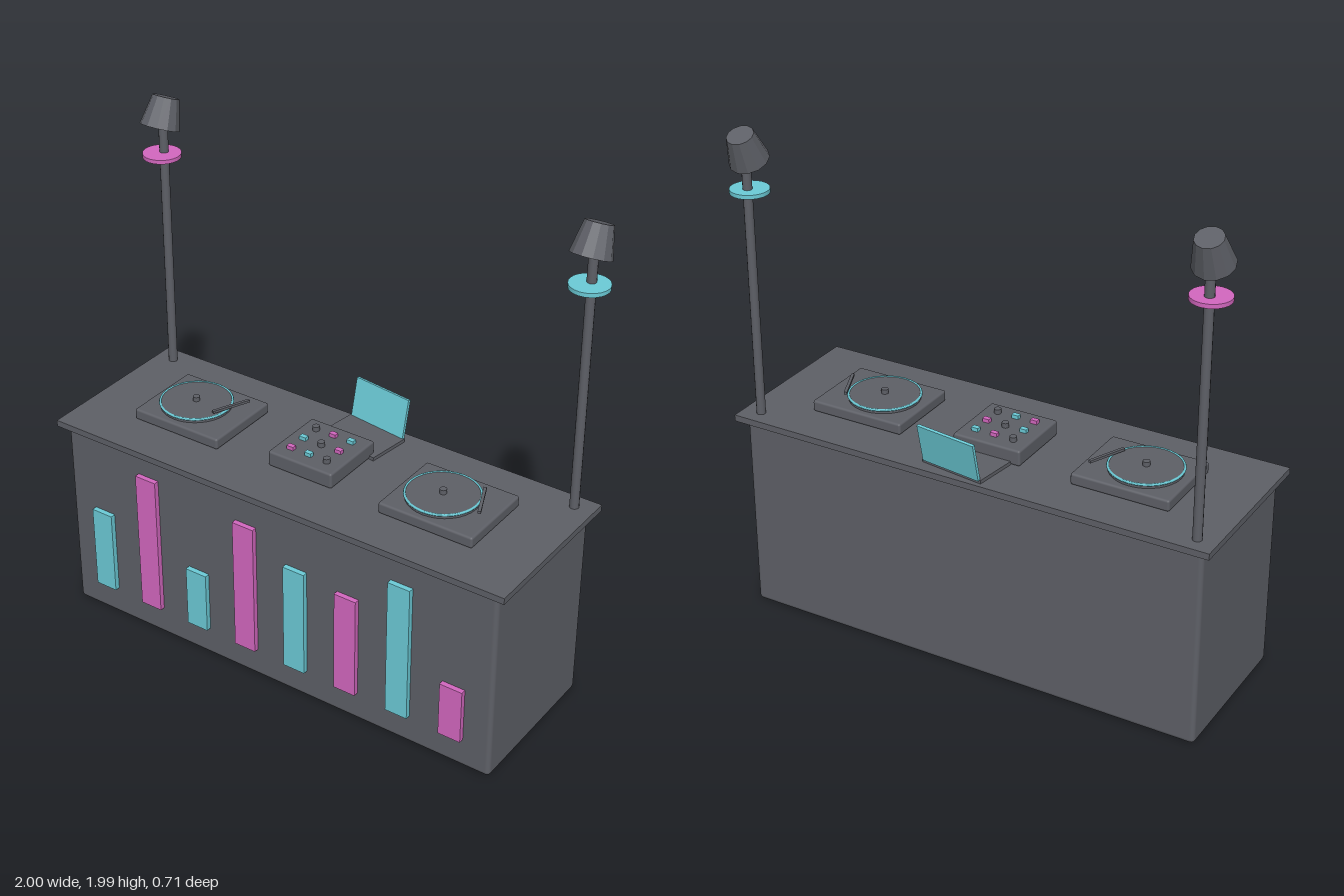
import * as THREE from 'three';
import { RoundedBoxGeometry } from 'three/addons/geometries/RoundedBoxGeometry.js';

export function createModel() {
  const model = new THREE.Group();
  model.name = 'djBooth';

  const make = (name, color, flatShading = false) => {
    const m = new THREE.MeshStandardMaterial({ color, flatShading });
    m.name = name;
    return m;
  };
  const dark = make('charcoal', 0x5e6067);
  const darkFlat = dark.clone();
  darkFlat.flatShading = true;
  const cyan = make('cyan', 0x6cccd8);
  const pink = make('pink', 0xd468c0);

  const add = (parent, name, geometry, material, x = 0, y = 0, z = 0) => {
    const mesh = new THREE.Mesh(geometry, material);
    mesh.name = name;
    mesh.position.set(x, y, z);
    parent.add(mesh);
    return mesh;
  };
  const group = (name, x = 0, y = 0, z = 0) => {
    const g = new THREE.Group();
    g.name = name;
    g.position.set(x, y, z);
    model.add(g);
    return g;
  };
  const box = (w, h, d) => new THREE.BoxGeometry(w, h, d);
  const rounded = (w, h, d, r) => new RoundedBoxGeometry(w, h, d, 2, r);
  const cyl = (rTop, rBottom, h, n = 24) => new THREE.CylinderGeometry(rTop, rBottom, h, n);

  // Cabinet and overhanging counter
  const TOP = 0.836;
  add(model, 'cabinet', rounded(1.928, 0.81, 0.636, 0.018), dark, 0, 0.405, 0.008);
  add(model, 'counter', box(2, 0.026, 0.69), dark, 0, TOP - 0.013, 0.005);

  // Equaliser bars on the front
  const BAR_BOTTOM = 0.125;
  [0.478, 0.72, 0.382, 0.688, 0.58, 0.555, 0.703, 0.352].forEach((top, i) => {
    const h = top - BAR_BOTTOM;
    add(model, 'equaliserBar', box(0.094, h, 0.024), i % 2 ? pink : cyan,
      -0.803 + i * 0.2294, BAR_BOTTOM + h / 2, 0.335);
  });

  // Turntables, with the tonearms turned opposite ways
  for (const side of [-1, 1]) {
    const deck = group('turntable', side * 0.561, TOP, 0.003);
    add(deck, 'deckBase', rounded(0.396, 0.046, 0.33, 0.009), dark, 0, 0.023, 0);
    add(deck, 'platter', cyl(0.14, 0.14, 0.018, 32), dark, -0.025, 0.054, 0);
    const ring = add(deck, 'platterRing', new THREE.TorusGeometry(0.14, 0.005, 6, 32), cyan, -0.025, 0.061, 0);
    ring.rotation.x = Math.PI / 2;
    add(deck, 'spindle', cyl(0.014, 0.014, 0.02, 12), dark, -0.025, 0.071, 0);
    const arm = add(deck, 'tonearm', box(0.012, 0.01, 0.16), dark, 0.123, 0.074, -0.025);
    arm.rotation.y = side * 0.41;
  }

  // Mixer with a grid of round knobs and coloured pads
  const mixer = group('mixer', -0.002, TOP, -0.002);
  add(mixer, 'mixerBase', rounded(0.285, 0.064, 0.285, 0.009), dark, 0, 0.032, 0);
  for (let row = 0; row < 3; row++) {
    for (let col = 0; col < 3; col++) {
      const kind = (col - row + 3) % 3;
      const x = (col - 1) * 0.08, z = (row - 1) * 0.08;
      if (kind === 0) add(mixer, 'knob', cyl(0.014, 0.014, 0.02, 12), dark, x, 0.073, z);
      else add(mixer, 'pad', box(0.028, 0.016, 0.02), kind === 1 ? pink : cyan, x, 0.071, z);
    }
  }

  // Laptop, turned slightly, with its screen leaning back
  const laptop = group('laptop', 0.038, TOP, -0.215);
  laptop.rotation.y = -0.13;
  add(laptop, 'laptopBase', box(0.27, 0.014, 0.18), dark, 0, 0.007, 0);
  const screen = add(laptop, 'laptopScreen', box(0.258, 0.16, 0.012), cyan, 0, 0.09, -0.105);
  screen.rotation.x = -0.2;

  // Lamp posts at the back corners
  for (const side of [-1, 1]) {
    const lamp = group('lampPost', side * 0.923, 0, 0);
    add(lamp, 'pole', cyl(0.018, 0.018, 1.06, 12), dark, 0, TOP + 0.53, -0.273);
    add(lamp, 'glowDisc', cyl(0.075, 0.075, 0.016), side < 0 ? pink : cyan, 0, 1.746, -0.26);
    const shade = add(lamp, 'lampHead', cyl(0.052, 0.077, 0.118, 12), darkFlat, 0, 1.914, -0.275);
    shade.rotation.x = -0.4;
  }

  return model;
}
